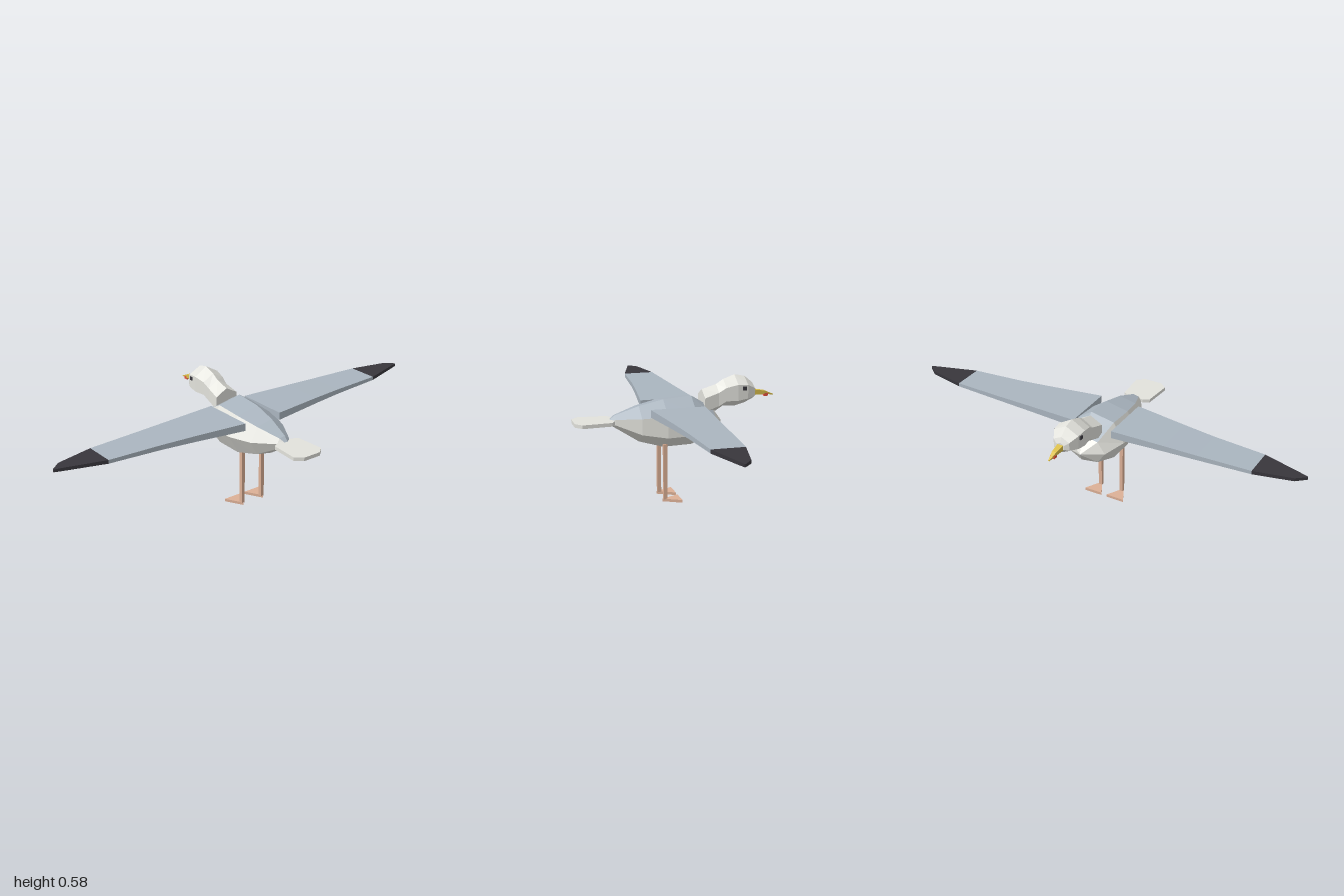
import * as THREE from 'three';

const mat = (name, color) => {
  const m = new THREE.MeshStandardMaterial({ color });
  m.name = name;
  return m;
};

// Skin a list of rings (each counter-clockwise seen from the first one) with flat faces.
function loft(rings, sides = null, bands = null) {
  const pos = [], n = rings[0].length;
  const tri = (...p) => p.forEach(v => pos.push(...v));
  for (let i = 0; i < rings.length - 1; i++) {
    for (let j = 0; j < n; j++) {
      if (sides && !sides(j, i)) continue;
      const k = (j + 1) % n, a = rings[i], b = rings[i + 1];
      tri(a[j], b[j], a[k]);
      tri(a[k], b[j], b[k]);
    }
  }
  if (!sides) {
    const a = rings[0], b = rings[rings.length - 1];
    for (let j = 1; j < n - 1; j++) {
      tri(a[0], a[j], a[j + 1]);
      tri(b[0], b[j + 1], b[j]);
    }
  }
  const g = new THREE.BufferGeometry();
  g.setAttribute('position', new THREE.Float32BufferAttribute(pos, 3));
  g.computeVertexNormals();
  return g;
}

// Elliptical polygon ring across z
const ovalRing = (n, start, [z, cy, rx, ry]) => Array.from({ length: n }, (_, j) => {
  const a = start + j * 2 * Math.PI / n;
  return [rx * Math.cos(a), cy + ry * Math.sin(a), z];
});

// Flat plate from an outline of [x, z] points
function plate(points, y, thickness) {
  const shape = new THREE.Shape(points.map(([x, z]) => new THREE.Vector2(x, -z)));
  const g = new THREE.ExtrudeGeometry(shape, { depth: thickness, bevelEnabled: false });
  return g.rotateX(-Math.PI / 2).translate(0, y, 0);
}

export function createModel() {
  const model = new THREE.Group();
  model.name = 'seabird';
  const white = mat('white plumage', 0xe2e2dc);
  const grey = mat('blue grey plumage', 0xaab5bf);
  const dark = mat('dark feathers', 0x38363c);
  const pink = mat('pink legs', 0xdcb096);
  const yellow = mat('yellow beak', 0xdcc04c);
  const red = mat('red spot', 0xe0523e);
  const add = (name, geometry, material) => {
    const m = new THREE.Mesh(geometry, material);
    m.name = name;
    model.add(m);
    return m;
  };

  // Seven-sided body: [z, centre y, x radius, y radius]
  const bodyRings = [
    [0.33, 0.385, 0.004, 0.004], [0.29, 0.39, 0.036, 0.031], [0.18, 0.375, 0.1, 0.087],
    [0.065, 0.3725, 0.135, 0.117], [-0.07, 0.38, 0.14, 0.12],
    [-0.175, 0.364, 0.1, 0.068], [-0.225, 0.36, 0.003, 0.003],
  ].map(s => ovalRing(7, Math.PI / 7, s));
  const onBack = (j, i) => j < 2 && i < 5;
  add('body', loft(bodyRings, (j, i) => !onBack(j, i)), white);
  add('mantle', loft(bodyRings, onBack), grey);

  // Six-sided neck and head
  add('neckAndHead', loft([
    [-0.13, 0.453, 0.068, 0.064], [-0.2, 0.474, 0.06, 0.064], [-0.235, 0.496, 0.066, 0.064],
    [-0.29, 0.5035, 0.076, 0.0765], [-0.34, 0.505, 0.072, 0.065],
    [-0.38, 0.4975, 0.046, 0.039], [-0.39, 0.492, 0.022, 0.02],
  ].map(s => ovalRing(6, Math.PI / 6, s))), white);

  // Beak: [z, half width, bottom, top]
  add('beak', loft([
    [-0.38, 0.015, 0.477, 0.504], [-0.44, 0.011, 0.477, 0.494], [-0.485, 0.003, 0.471, 0.474],
  ].map(([z, w, b, t]) => [[-w, b, z], [w, b, z], [w, t, z], [-w, t, z]])), yellow);
  add('beakSpot', new THREE.BoxGeometry(0.022, 0.014, 0.02).translate(0, 0.475, -0.447), red);

  // Tail fan
  add('tail', plate([
    [-0.04, 0.297], [-0.07, 0.315], [-0.08, 0.455], [-0.045, 0.485],
    [0.045, 0.485], [0.08, 0.455], [0.07, 0.315], [0.04, 0.297],
  ], 0.383, 0.017), white);

  // Wing sections: [x, front z, back z, bottom, top]
  const wing = [
    [0.1, -0.118, 0.142, 0.421, 0.457], [0.36, -0.105, 0.105, 0.425, 0.453],
    [0.52, -0.098, 0.085, 0.427, 0.45], [0.775, -0.085, 0.065, 0.43, 0.447],
  ];
  const tip = [wing[3], [0.955, -0.045, 0.011, 0.431, 0.446], [1, -0.008, -0.002, 0.432, 0.445]];
  const wingRings = (sections, s) => sections.map(([x, f, k, b, t]) => {
    const ring = [[s * x, b, f], [s * x, b, k], [s * x, t, k], [s * x, t, f]];
    return s > 0 ? ring : ring.reverse();
  });

  for (const [side, s] of [['left', 1], ['right', -1]]) {
    add(side + 'Wing', loft(wingRings(wing, s)), grey);
    add(side + 'WingTip', loft(wingRings(tip, s)), dark);
    add(side + 'Eye', new THREE.BoxGeometry(0.012, 0.017, 0.017).translate(s * 0.063, 0.523, -0.322), dark);

    // Leg and webbed foot
    add(side + 'Leg', new THREE.BoxGeometry(0.017, 0.27, 0.018).translate(s * 0.058, 0.145, 0.064), pink);
    const x = s * 0.06;
    add(side + 'Foot', plate([[x, 0.077], [x + 0.046, -0.008], [x - 0.046, -0.008]], 0, 0.013), pink);
  }
  return model;
}
